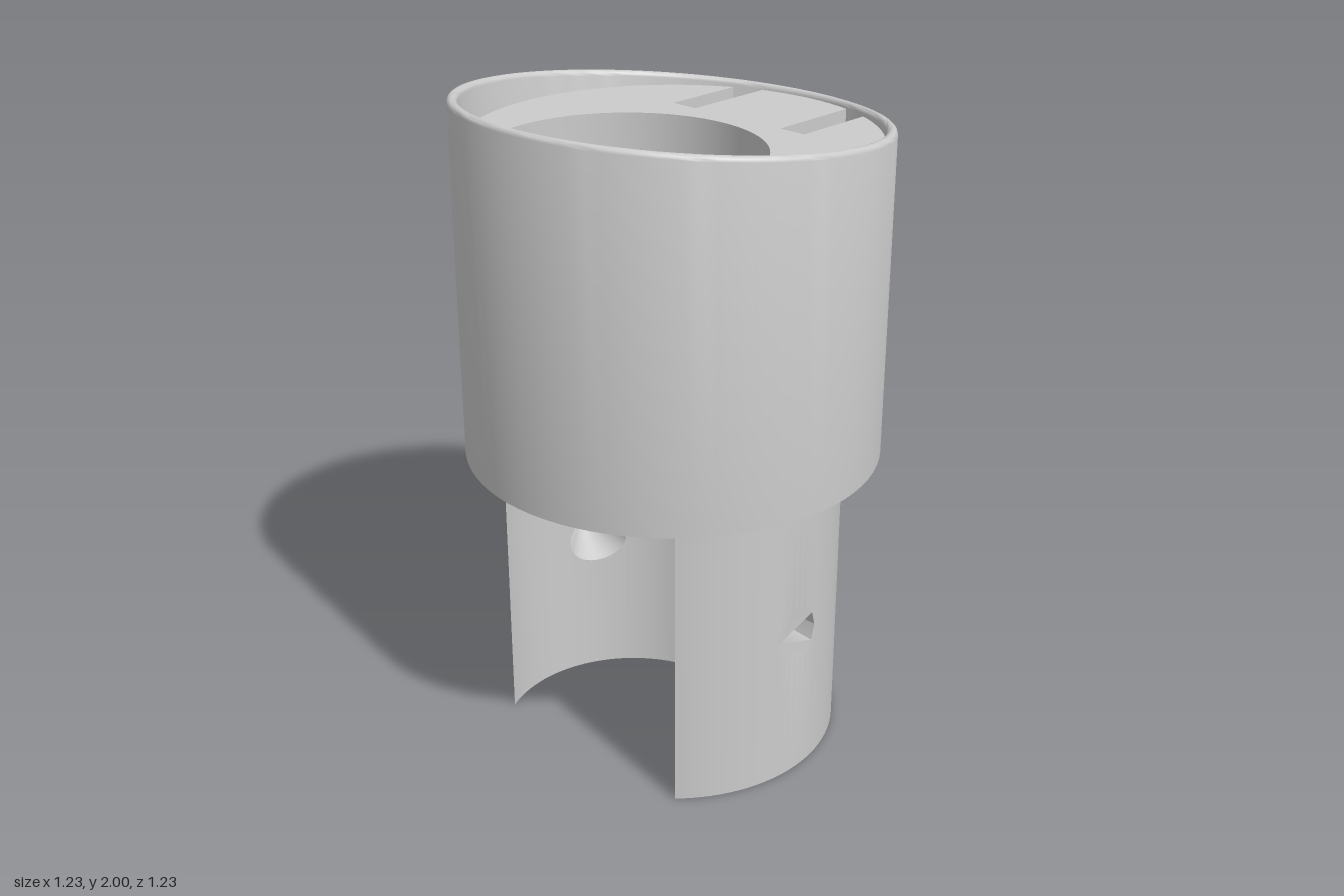
import * as THREE from 'three';
import { toCreasedNormals } from 'three/addons/utils/BufferGeometryUtils.js';

const STEM = 0.505, BODY = 0.59, BORE = 0.392, BORE_Z = 0.19; // radii and bore centre
const STEP_Y = 0.93, DECK_Y = 1.855;                          // shoulder and deck heights
const SLOT = 0.25, SLOT_Z = -0.265;                           // half width and floor of the back slot
const HOLE = 0.08, HOLE_Y = 0.465;                            // cross hole

const material = new THREE.MeshStandardMaterial({ color: 0xcccccc });

// Points [x, z] on a circle; angle 0 faces the front, PI/2 faces +x
function arc(r, cz, a0, a1, n) {
  return Array.from({ length: n + 1 }, (_, i) => {
    const a = a0 + (a1 - a0) * i / n;
    return [r * Math.sin(a), cz + r * Math.cos(a)];
  });
}
const stemAngle = z => Math.acos(z / STEM);
const boreAngle = z => Math.acos((z - BORE_Z) / BORE);

// Upright prism over an [x, z] outline; reshape may change the height of a vertex
function prism(points, y0, y1, reshape) {
  const shape = new THREE.Shape(points.map(([x, z]) => new THREE.Vector2(x, -z)));
  const geo = new THREE.ExtrudeGeometry(shape, { depth: y1 - y0, bevelEnabled: false });
  geo.rotateX(-Math.PI / 2);
  geo.translate(0, y0, 0);
  if (reshape) {
    const p = geo.attributes.position;
    for (let i = 0; i < p.count; i++) p.setY(i, reshape(p.getY(i), p.getZ(i)));
  }
  return toCreasedNormals(geo, 0.5);
}

export function createModel() {
  const group = new THREE.Group();
  const add = (name, geo) => {
    const mesh = new THREE.Mesh(geo, material);
    mesh.name = name;
    group.add(mesh);
    return mesh;
  };

  // Outer sleeve with a rounded, slanted rim
  const profile = [[0.615, STEP_Y], [0.615, 1.92]];
  for (let i = 1; i < 6; i++) {
    const a = Math.PI * i / 6;
    profile.push([0.6 + 0.015 * Math.cos(a), 1.92 + 0.015 * Math.sin(a)]);
  }
  profile.push([0.585, 1.92], [0.585, STEP_Y], [0.615, STEP_Y]);
  const sleeve = new THREE.LatheGeometry(profile.map(p => new THREE.Vector2(...p)), 80);
  const sp = sleeve.attributes.position;
  for (let i = 0; i < sp.count; i++) {
    if (sp.getY(i) > 1.5) sp.setY(i, sp.getY(i) + sp.getZ(i) * 0.106);
  }
  add('sleeve', toCreasedNormals(sleeve, 0.7));

  // Body inside the sleeve: off-centre bore open to the front, slot at the back
  const bodyCut = Math.asin(SLOT / BODY), boreCut = Math.asin(SLOT / BORE);
  add('body', prism([
    ...arc(BODY, 0, bodyCut, Math.PI - bodyCut, 32),
    [SLOT, SLOT_Z], [-SLOT, SLOT_Z],
    ...arc(BODY, 0, Math.PI + bodyCut, 2 * Math.PI - bodyCut, 32),
    ...arc(BORE, BORE_Z, 2 * Math.PI - boreCut, boreCut, 56),
  ], STEP_Y, DECK_Y));

  // Latch in the back slot: a block, a raised centre and a tapered peg
  const latch = (w, z) => {
    const a = Math.asin(w / BODY);
    return [[w, z], ...arc(BODY, 0, Math.PI - a, Math.PI + a, 10), [-w, z]];
  };
  add('latchBlock', prism(latch(0.24, -0.285), 0.95, 1.8));
  add('latchTongue', prism(latch(0.162, SLOT_Z), 0.95, DECK_Y));
  const peg = add('latchPeg', new THREE.CylinderGeometry(0.14, 0.09, 0.09, 32));
  peg.position.set(0, 0.915, -0.35);

  // Stem, back part with the slot
  const stemCut = Math.asin(SLOT / STEM);
  add('stemBack', prism([
    ...arc(STEM, 0, stemAngle(-HOLE), Math.PI - stemCut, 14),
    [SLOT, SLOT_Z], [-SLOT, SLOT_Z],
    ...arc(STEM, 0, Math.PI + stemCut, 2 * Math.PI - stemAngle(-HOLE), 14),
    ...arc(BORE, BORE_Z, 2 * Math.PI - boreAngle(-HOLE), boreAngle(-HOLE), 28),
  ], 0, STEP_Y));

  // Stem sides: sharp front tips, and walls above and below the cross hole
  const tipZ = (STEM ** 2 - BORE ** 2 + BORE_Z ** 2) / (2 * BORE_Z);
  const tip = [
    ...arc(STEM, 0, stemAngle(tipZ), stemAngle(HOLE), 12),
    ...arc(BORE, BORE_Z, boreAngle(HOLE), boreAngle(tipZ), 12).slice(0, -1),
  ];
  const zs = Array.from({ length: 21 }, (_, i) => HOLE * Math.cos(Math.PI * i / 20));
  const wall = [
    ...zs.map(z => [Math.sqrt(STEM ** 2 - z * z), z]),
    ...zs.slice().reverse().map(z => [Math.sqrt(BORE ** 2 - (z - BORE_Z) ** 2), z]),
  ];
  const rise = z => Math.sqrt(Math.max(0, HOLE ** 2 - z * z));
  for (const [side, s] of [['left', 1], ['right', -1]]) {
    const flip = pts => pts.map(([x, z]) => [s * x, z]);
    add(side + 'StemTip', prism(flip(tip), 0, STEP_Y));
    add(side + 'WallBelowHole', prism(flip(wall), 0, HOLE_Y,
      (y, z) => (y > 0.1 ? HOLE_Y - rise(z) : y)));
    add(side + 'WallAboveHole', prism(flip(wall), HOLE_Y, STEP_Y,
      (y, z) => (y < 0.7 ? HOLE_Y + rise(z) : y)));
  }
  return group;
}
